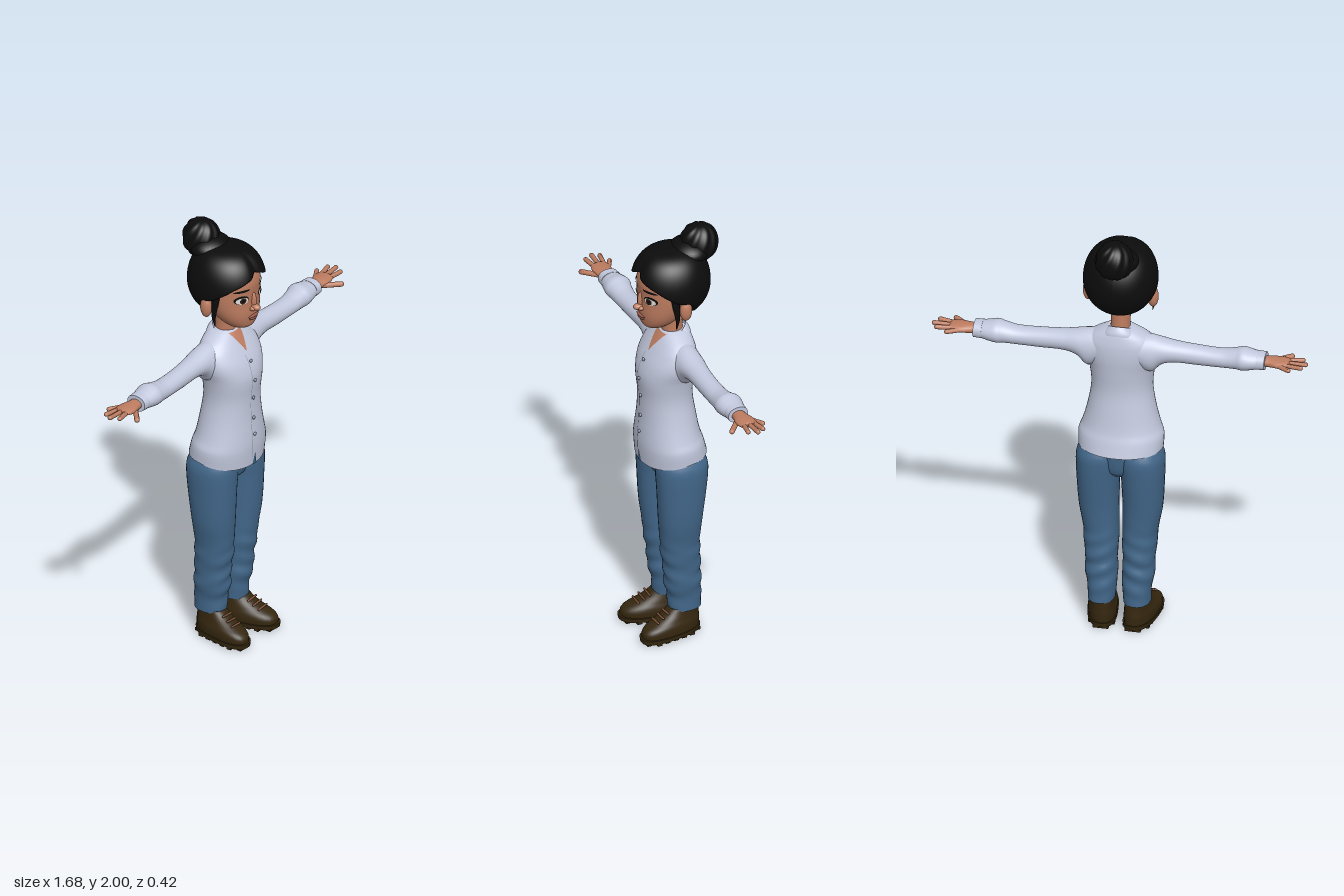
import * as THREE from 'three';

const mat = (name, color, side = THREE.FrontSide) => {
  const m = new THREE.MeshStandardMaterial({ color, side });
  m.name = name;
  return m;
};

// Smooth cross-section at height t; rows are [t, centre, halfWidth, zFront, zBack]
function section(rows, t) {
  const n = rows.length;
  let i = 0;
  while (i < n - 2 && t > rows[i + 1][0]) i++;
  const A = rows[i], B = rows[i + 1], P = rows[Math.max(i - 1, 0)], N = rows[Math.min(i + 2, n - 1)];
  const d = B[0] - A[0], k = Math.min(1, Math.max(0, (t - A[0]) / d)), k2 = k * k, k3 = k2 * k;
  return A.map((a, j) => {
    if (j === 0) return t;
    const m0 = (B[j] - P[j]) / (B[0] - P[0]) * d, m1 = (N[j] - a) / (N[0] - A[0]) * d;
    return (2 * k3 - 3 * k2 + 1) * a + (k3 - 2 * k2 + k) * m0 + (3 * k2 - 2 * k3) * B[j] + (k3 - k2) * m1;
  });
}
const spow = (v, p) => Math.sign(v) * Math.abs(v) ** p;

// Closed loft through the rows with superelliptic rings
function loft(rows, { p = 1, seg = 32, sub = 4, warp } = {}) {
  const pos = [], idx = [], ts = [];
  for (let i = 0; i < rows.length - 1; i++)
    for (let s = 0; s < sub; s++) ts.push(rows[i][0] + (rows[i + 1][0] - rows[i][0]) * s / sub);
  ts.push(rows[rows.length - 1][0]);
  const ring = (t) => {
    const [, c, h, f, b] = section(rows, t);
    for (let k = 0; k < seg; k++) {
      const a = k / seg * Math.PI * 2;
      const v = new THREE.Vector3(c + h * spow(Math.cos(a), p), t, (f + b) / 2 + (f - b) / 2 * spow(Math.sin(a), p));
      if (warp) warp(v);
      pos.push(v.x, v.y, v.z);
    }
  };
  ts.forEach(ring);
  for (let j = 0; j < ts.length - 1; j++)
    for (let k = 0; k < seg; k++) {
      const a = j * seg + k, b = j * seg + (k + 1) % seg;
      idx.push(a, a + seg, b, b, a + seg, b + seg);
    }
  for (const end of [0, 1]) {
    const base = pos.length / 3, t = ts[end ? ts.length - 1 : 0], s = section(rows, t);
    ring(t);
    const v = new THREE.Vector3(s[1], t, (s[3] + s[4]) / 2);
    if (warp) warp(v);
    pos.push(v.x, v.y, v.z);
    for (let k = 0; k < seg; k++) {
      const a = base + k, b = base + (k + 1) % seg;
      idx.push(...(end ? [a, base + seg, b] : [a, b, base + seg]));
    }
  }
  return surface(pos, idx);
}
function surface(pos, idx) {
  const g = new THREE.BufferGeometry();
  g.setAttribute('position', new THREE.Float32BufferAttribute(pos, 3));
  g.setIndex(idx);
  g.computeVertexNormals();
  return g;
}
// Grid surface from a function of (u, v)
function grid(nu, nv, fn) {
  const pos = [], idx = [];
  for (let j = 0; j <= nv; j++) for (let i = 0; i <= nu; i++) pos.push(...fn(i / nu, j / nv));
  for (let j = 0; j < nv; j++) for (let i = 0; i < nu; i++) {
    const a = j * (nu + 1) + i, b = a + nu + 1;
    idx.push(a, b, a + 1, a + 1, b, b + 1);
  }
  return surface(pos, idx);
}
// Front depth of a lofted body, and laying flat geometry onto it
function frontZ(rows, p, x, y) {
  const [, c, h, f, b] = section(rows, y);
  const q = Math.min(1, Math.abs(x - c) / h) ** (1 / p);
  return (f + b) / 2 + (f - b) / 2 * Math.max(0, 1 - q * q) ** (p / 2);
}
function drape(g, rows, p, off) {
  const a = g.attributes.position;
  for (let i = 0; i < a.count; i++) a.setZ(i, frontZ(rows, p, a.getX(i), a.getY(i)) + off);
  g.computeVertexNormals();
  return g;
}
const oval = (x, y, rx, ry, tilt = 0) => new THREE.RingGeometry(0, 1, 28, 4).scale(rx, ry, 1).rotateZ(tilt).translate(x, y, 0);
const ball = (x, y, z, rx, ry, rz) => new THREE.SphereGeometry(1, 28, 20).scale(rx, ry, rz).translate(x, y, z);
function capsule(a, b, r) {
  const A = new THREE.Vector3(...a), B = new THREE.Vector3(...b), d = B.clone().sub(A);
  const g = new THREE.CapsuleGeometry(r, d.length(), 6, 12);
  g.applyQuaternion(new THREE.Quaternion().setFromUnitVectors(new THREE.Vector3(0, 1, 0), d.normalize()));
  return g.translate(...A.add(B).multiplyScalar(0.5).toArray());
}
function mirrorX(g) {
  const m = g.clone().scale(-1, 1, 1), ix = m.index.array;
  for (let i = 0; i < ix.length; i += 3) [ix[i], ix[i + 1]] = [ix[i + 1], ix[i]];
  m.computeVertexNormals();
  return m;
}

const HEAD = [[1.545, 0, .03, .12, .04], [1.56, 0, .058, .145, .02], [1.59, 0, .088, .155, -.01], [1.63, 0, .11, .16, -.05],
  [1.68, 0, .125, .158, -.09], [1.73, 0, .131, .16, -.12], [1.78, 0, .13, .162, -.13], [1.84, 0, .11, .14, -.11], [1.89, 0, .06, .08, -.07]];
const TORSO = [[.87, 0, .188, .16, -.135], [.95, 0, .189, .165, -.118], [1.0, 0, .175, .164, -.105], [1.1, 0, .15, .157, -.088],
  [1.2, 0, .136, .156, -.075], [1.3, 0, .147, .164, -.08], [1.37, 0, .168, .146, -.085], [1.43, 0, .165, .112, -.083],
  [1.47, 0, .13, .085, -.075], [1.5, 0, .08, .062, -.065], [1.512, 0, .055, .05, -.055]];
const LEG = [[.13, .08, .06, .06, -.09], [.2, .078, .064, .064, -.09], [.27, .083, .072, .08, -.086], [.33, .084, .07, .082, -.084],
  [.42, .086, .077, .096, -.08], [.48, .088, .078, .1, -.078], [.6, .098, .088, .112, -.086], [.75, .1, .095, .12, -.104],
  [.84, .097, .1, .124, -.112], [.88, .095, .095, .12, -.108], [.94, .09, .07, .1, -.08]];
// sleeve rows: x, top, bottom, zFront, zBack
const SLEEVE = [[.07, 1.48, 1.34, .07, -.07], [.14, 1.478, 1.3, .068, -.068], [.19, 1.468, 1.345, .06, -.06], [.25, 1.457, 1.36, .052, -.05],
  [.35, 1.448, 1.358, .05, -.043], [.46, 1.444, 1.36, .052, -.045], [.52, 1.456, 1.362, .057, -.052], [.55, 1.464, 1.361, .062, -.061],
  [.59, 1.456, 1.368, .056, -.056], [.625, 1.449, 1.376, .047, -.046]];
const CUFF = [[.615, 1.452, 1.374, .05, -.049], [.652, 1.45, 1.376, .048, -.047]];
const PALM = [[.63, 1.434, 1.388, .03, -.03], [.67, 1.434, 1.39, .033, -.033], [.71, 1.433, 1.394, .043, -.045], [.75, 1.43, 1.402, .036, -.042], [.762, 1.424, 1.408, .028, -.034]];
const SHOE = [[.022, .082, .064, .2, -.085], [.05, .082, .066, .2, -.086], [.07, .082, .064, .182, -.086], [.09, .081, .058, .14, -.084],
  [.115, .08, .053, .092, -.082], [.14, .08, .05, .06, -.08]];
const SOLE = [[.01, .082, .067, .208, -.088], [.03, .082, .069, .21, -.09]];
const HAIRLINE = [[0, 1.06], [.25, 1.4], [.42, 1.75], [.55, 1.9], [.7, 2.5], [1, 2.75]];

export function createModel() {
  const root = new THREE.Group();
  root.name = 'woman';
  const skin = mat('skin', 0xbd7c60), lip = mat('lip', 0x99594a), shirt = mat('shirt', 0xc3c9de, THREE.DoubleSide);
  const trim = mat('shirtTrim', 0x8d93a8), denim = mat('denim', 0x42678a), hair = mat('hair', 0x0c0c0c, THREE.DoubleSide);
  const leather = mat('shoeLeather', 0x35270f), lace = mat('lace', 0x7d5038), white = mat('eyeWhite', 0xe6dfdc), iris = mat('iris', 0x2c1a10);
  const add = (name, g, m) => {
    const mesh = new THREE.Mesh(g, m);
    mesh.name = name;
    root.add(mesh);
  };
  const pair = (name, g, m) => {
    add('left' + name, g, m);
    add('right' + name, mirrorX(g), m);
  };

  // Head and face
  add('head', loft(HEAD, { p: .92, seg: 48 }), skin);
  add('neck', loft([[1.42, 0, .06, .06, -.05], [1.5, 0, .044, .052, -.042], [1.6, 0, .045, .06, -.038]]), skin);
  add('noseBridge', ball(0, 1.688, .153, .013, .045, .02), skin);
  add('noseTip', ball(0, 1.658, .168, .018, .015, .026), skin);
  pair('Nostril', ball(.015, 1.654, .161, .011, .01, .015), skin);
  add('upperLip', ball(0, 1.614, .158, .033, .007, .011), lip);
  add('lowerLip', ball(0, 1.603, .157, .027, .008, .011), lip);
  pair('Ear', ball(.145, 1.672, .008, .024, .05, .028), skin);
  pair('Lash', drape(oval(.066, 1.712, .032, .021, .1), HEAD, .92, .002), hair);
  pair('Eye', drape(oval(.065, 1.708, .027, .016, .08), HEAD, .92, .004), white);
  pair('Iris', drape(oval(.064, 1.709, .014, .015), HEAD, .92, .006), iris);
  pair('Pupil', drape(oval(.064, 1.709, .007, .007), HEAD, .92, .0075), hair);
  pair('Brow', drape(oval(.067, 1.757, .034, .006, -.05), HEAD, .92, .004), hair);

  // Swept-back hair with a centre dip, last rows tucked under the hairline
  add('hair', grid(72, 26, (u, v) => {
    const a = (u * 2 - 1) * Math.PI, q = Math.abs(u * 2 - 1);
    let i = 0;
    while (i < HAIRLINE.length - 2 && q > HAIRLINE[i + 1][0]) i++;
    const [q0, t0] = HAIRLINE[i], [q1, t1] = HAIRLINE[i + 1];
    const t = (t0 + (t1 - t0) * (q - q0) / (q1 - q0)) * Math.min(1, v * 26 / 24);
    const tuck = v > 24.5 / 26 ? (v > .99 ? .7 : .88) : 1;
    const r = Math.sin(t) ** (t < Math.PI / 2 ? .62 : 1) * tuck;
    const dip = 1 - .1 * Math.exp(-((a / .16) ** 2)) * Math.sin(t);
    return [.165 * r * Math.sin(a), 1.75 + .165 * Math.cos(t), .005 + (Math.cos(a) > 0 ? .188 : .17) * r * Math.cos(a) * dip];
  }), hair);
  pair('SideStrand', loft([[1.58, .134, .002, .05, .046], [1.63, .141, .007, .056, .036], [1.7, .14, .013, .07, .035], [1.77, .135, .015, .08, .03]], { seg: 14 }), hair);
  add('bunBase', ball(0, 1.885, -.075, .098, .055, .085), hair);
  add('bun', grid(64, 24, (u, v) => {
    const a = u * Math.PI * 2, t = v * Math.PI, r = Math.sin(t) ** .8 * (1 + .045 * Math.cos(9 * a + 4 * t));
    return [(.081 - .006 * Math.cos(t)) * r * Math.sin(a), 1.915 + .085 * Math.cos(t), -.125 + .083 * r * Math.cos(a)];
  }), hair);

  // Shirt: the hem is higher at the sides and back
  add('shirtBody', loft(TORSO, { p: .95, seg: 48, warp: (v) => {
    const k = Math.max(0, 1 - (v.y - .87) / .15);
    v.y += k * (v.z < 0 ? .035 : .035 * (1 - v.z / .16));
  } }), shirt);
  const limb = (rows, o) => loft(rows.map(([x, t, b, f, k]) => [x, -(t + b) / 2, (t - b) / 2, f, k]), o).rotateZ(-Math.PI / 2);
  pair('Sleeve', limb(SLEEVE), shirt);
  pair('Cuff', limb(CUFF, { p: .9 }), shirt);
  add('collar', grid(48, 6, (u, v) => {
    const a = (u * 2 - 1) * (Math.PI - .16 - .3 * v), f = (1 - Math.cos(a)) / 2, out = Math.sin(v * Math.PI / 2);
    const y = 1.532 - .065 * f - v * (.04 + .055 * f ** 4);
    return [(.053 + .034 * out) * Math.sin(a), y, .006 - (.06 + (.02 + .026 * f) * out) * Math.cos(a)];
  }), shirt);
  const neckline = new THREE.PlaneGeometry(.08, .085, 8, 8).translate(0, 1.4625, 0), np = neckline.attributes.position;
  for (let i = 0; i < np.count; i++) np.setX(i, np.getX(i) * (np.getY(i) - 1.42) / .085);
  add('openNeckline', drape(neckline, TORSO, .95, .004), skin);
  add('placketSeam', drape(new THREE.PlaneGeometry(.003, .5, 1, 40).translate(-.017, 1.16, 0), TORSO, .95, .002), trim);
  for (const y of [1.38, 1.29, 1.2, 1.1, 1.02])
    add('button', ball(0, y, frontZ(TORSO, .95, 0, y) + .003, .008, .008, .006), trim);
  const split = new THREE.PlaneGeometry(.03, .06, 2, 6).translate(0, .9, 0), sp = split.attributes.position;
  for (let i = 0; i < sp.count; i++) sp.setX(i, sp.getX(i) * (.93 - sp.getY(i)) / .06);
  add('hemSplit', drape(split, TORSO, .95, .003), denim);

  // Hands
  pair('Palm', limb(PALM, { seg: 24 }), skin);
  const fingers = [['Little', [.715, 1.412, -.034], [.765, 1.414, -.063]], ['Ring', [.735, 1.415, -.026], [.815, 1.419, -.04]],
    ['Middle', [.745, 1.416, -.005], [.832, 1.42, -.008]], ['Index', [.74, 1.415, .018], [.812, 1.419, .03]], ['Thumb', [.69, 1.405, .026], [.752, 1.402, .08]]];
  for (const [n, a, b] of fingers) pair(n + 'Finger', capsule(a, b, n === 'Thumb' ? .012 : .0105), skin);

  // Trousers
  const crease = (v) => {
    const k = Math.max(0, 1 - Math.abs(v.y - .32) / .22);
    v.z += .005 * k * Math.sin(v.y * 75 + v.x * 25);
  };
  pair('TrouserLeg', loft(LEG, { p: .92, sub: 6, warp: crease }), denim);
  add('trouserSeat', loft([[.765, 0, .06, .05, -.05], [.8, 0, .1, .095, -.085], [.9, 0, .13, .11, -.1]]), denim);

  // Shoes, toes turned slightly out
  const turn = (v) => { v.x += .14 * v.z; };
  pair('Shoe', loft(SHOE, { p: .85, warp: turn }), leather);
  pair('Sole', loft(SOLE, { p: .8, sub: 1, warp: turn }), leather);
  for (let i = 0; i < 7; i++) {
    const z = -.07 + i * .042, w = i === 0 || i === 6 ? .07 : .118;
    pair('SoleLug', new THREE.BoxGeometry(w, .014, .022).translate(.082 + .14 * z, .007, z), leather);
  }
  for (let i = 0; i < 3; i++) {
    const y = .093 + i * .015, z = .138 - i * .026, x = .08 + .14 * z;
    pair('ShoeLace', capsule([x - .028, y, z - .004], [x + .028, y + .004, z - .004], .005), lace);
  }
  return root;
}
